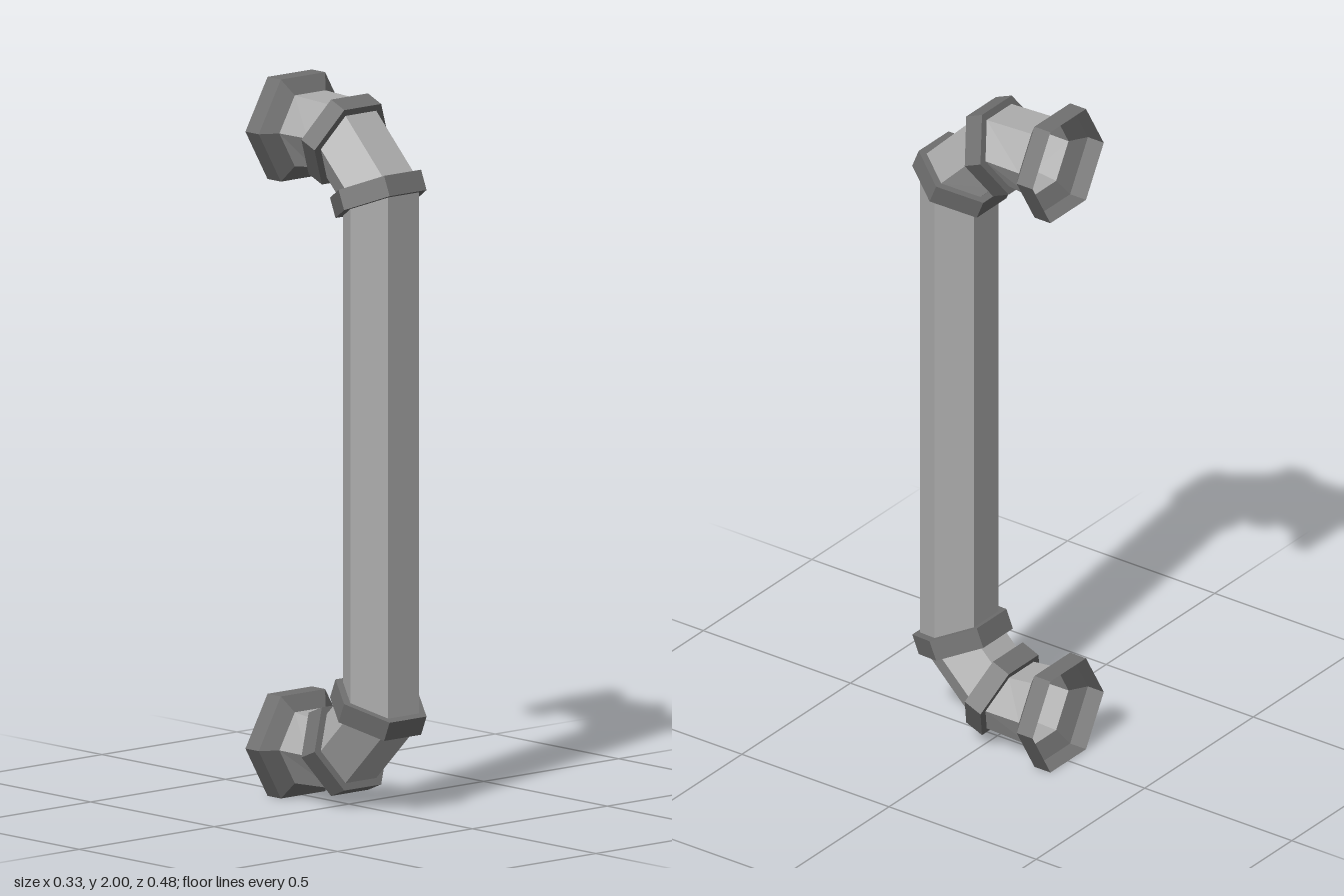
import * as THREE from 'three';

const SIDES = 6;
const PIPE_R = 0.114, COLLAR_R = 0.137, FLANGE_R = 0.164;
const COLLAR_LENGTH = 0.058;

// A hexagonal ring at (0, y, z); tilt 0 points its axis forward, 90 degrees points it down
const ring = (y, z, degrees, radius) => ({ y, z, tilt: THREE.MathUtils.degToRad(degrees), radius });

// Mirror a ring top to bottom, with its axis continuing along the same run
const mirrored = (r) => ({ ...r, y: 2 - r.y, tilt: Math.PI - r.tilt });
const mirroredRun = (rings) => rings.map(mirrored).reverse();

// Four rings of a raised band, from the pipe out and back in
function collarRings(start, end, degrees) {
  return [
    ring(...start, degrees, PIPE_R), ring(...start, degrees, COLLAR_R),
    ring(...end, degrees, COLLAR_R), ring(...end, degrees, PIPE_R),
  ];
}

function ringPoint(r, k) {
  const a = (k / SIDES) * Math.PI * 2;
  const up = r.radius * Math.sin(a);
  return [r.radius * Math.cos(a), r.y + up * Math.cos(r.tilt), r.z + up * Math.sin(r.tilt)];
}

// Skin consecutive rings with flat faces
function loft(name, rings, material) {
  const positions = [];
  for (let i = 0; i < rings.length - 1; i++) {
    for (let k = 0; k < SIDES; k++) {
      const a = ringPoint(rings[i], k), b = ringPoint(rings[i], k + 1);
      const c = ringPoint(rings[i + 1], k + 1), d = ringPoint(rings[i + 1], k);
      positions.push(...a, ...b, ...c, ...a, ...c, ...d);
    }
  }
  const geometry = new THREE.BufferGeometry();
  geometry.setAttribute('position', new THREE.Float32BufferAttribute(positions, 3));
  geometry.computeVertexNormals();
  const mesh = new THREE.Mesh(geometry, material);
  mesh.name = name;
  return mesh;
}

export function createModel() {
  const pipeMetal = new THREE.MeshStandardMaterial({ color: 0xadadad, side: THREE.DoubleSide, flatShading: true });
  pipeMetal.name = 'light grey pipe';
  const fittingMetal = new THREE.MeshStandardMaterial({ color: 0x707070, side: THREE.DoubleSide, flatShading: true });
  fittingMetal.name = 'dark grey fittings';

  // Open wall flange that tapers down to the pipe
  const flange = [
    ring(1.858, -0.24, 0, FLANGE_R),
    ring(1.858, -0.186, 0, FLANGE_R),
    ring(1.858, -0.157, 0, PIPE_R),
  ];

  // Bands at the two bends, each tilted halfway through its turn
  const s = COLLAR_LENGTH * Math.sin(Math.PI / 8), c = COLLAR_LENGTH * Math.cos(Math.PI / 8);
  const upperCollar = collarRings([1.859, -0.043], [1.859 - s, -0.043 + c], 22.5);
  const lowerCollar = collarRings([1.687 + c, 0.13 - s], [1.687, 0.13], 67.5);

  // Pipe runs between the fittings
  const stub = [flange[2], upperCollar[0]];
  const elbow = [upperCollar[3], lowerCollar[0]];

  const group = new THREE.Group();
  group.name = 'pipe';
  const parts = [
    ['Flange', flange, fittingMetal],
    ['Stub', stub, pipeMetal],
    ['WallCollar', upperCollar, fittingMetal],
    ['Elbow', elbow, pipeMetal],
    ['PipeCollar', lowerCollar, fittingMetal],
  ];
  for (const [name, rings, material] of parts) {
    group.add(loft('top' + name, rings, material));
    group.add(loft('bottom' + name, mirroredRun(rings), material));
  }

  // Long upright between the bends
  group.add(loft('uprightPipe', [lowerCollar[3], mirrored(lowerCollar[3])], pipeMetal));
  return group;
}
